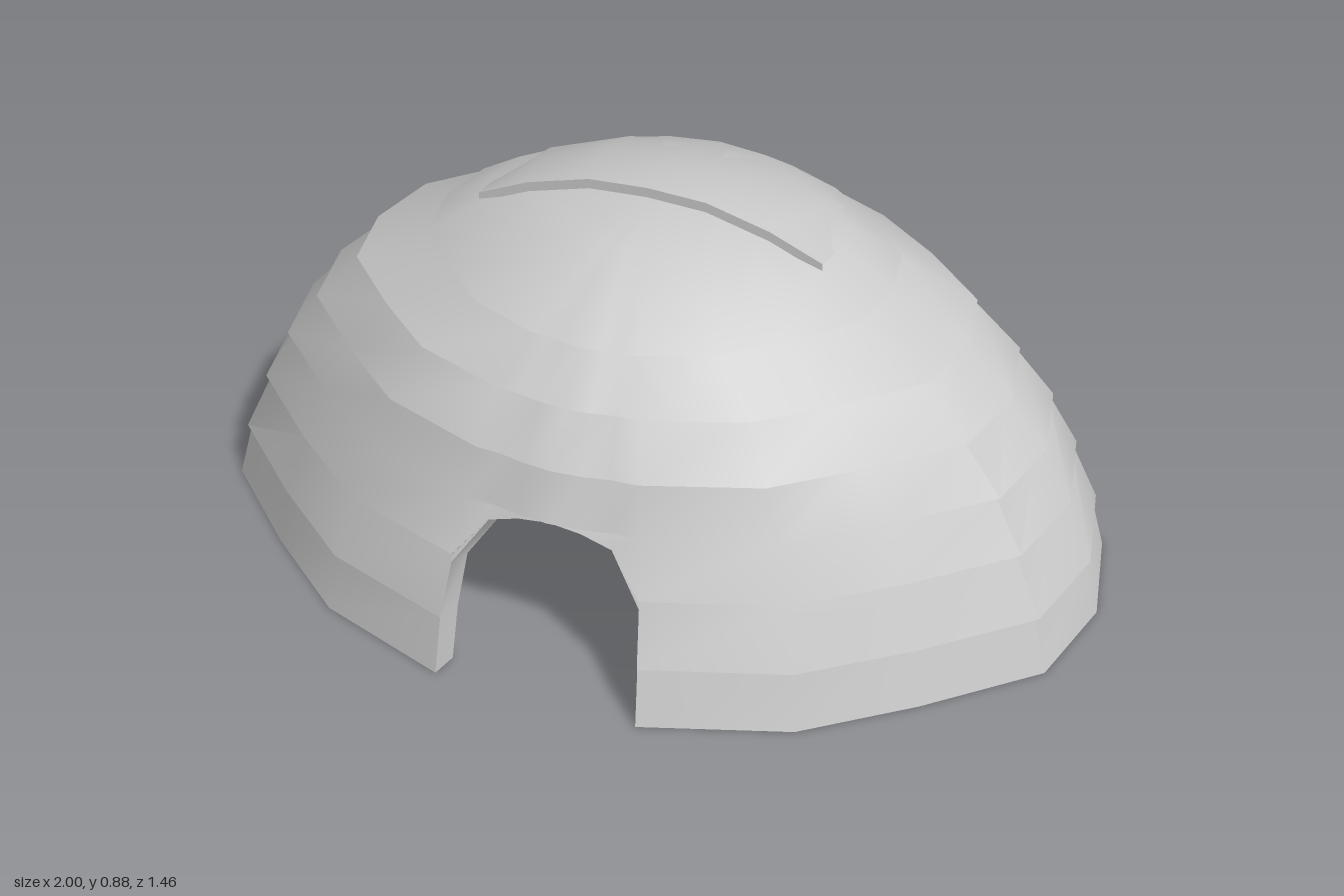
import * as THREE from 'three';
import { toCreasedNormals } from 'three/addons/utils/BufferGeometryUtils.js';

// Plan outline (unit x, unit z) from the front round the left side to the back
const half = [[0, 1], [0.08, 0.99], [0.155, 0.97], [0.225, 0.965], [0.53, 0.82], [0.74, 0.59], [0.95, 0.32],
  [1, 0], [0.95, -0.32], [0.74, -0.59], [0.52, -0.81], [0.28, -0.945], [0, -1]];
const cols = [...half, ...half.slice(1, -1).reverse().map(([x, z]) => [-x, z])];
const N = cols.length;
const doorTop = [0.388, 0.378, 0.355, 0.25]; // arch height by column from the middle
const Z0 = 0.02;
const DROP = 0.955; // inner heights relative to outer ones

// Tiers: height, half width, front depth, back depth, extra side step below the rim
const tiers = [
  [0, 1, 0.735, 0.75, 0], [0.13, 0.975, 0.71, 0.728, 0.015], [0.27, 0.92, 0.667, 0.69, 0.025],
  [0.39, 0.86, 0.62, 0.642, 0.02], [0.5, 0.78, 0.592, 0.582, 0.015], [0.61, 0.68, 0.527, 0.522, 0.025],
  [0.7, 0.51, 0.437, 0.43, 0.01], [0.77, 0.4, 0.335, 0.33, 0], [0.82, 0.24, 0.235, 0.2, 0], [0.835, 0, 0, 0, 0]];

// Outer rows carry a narrow and a wide ring at each step; inner rows are smooth
const RIM = 0.007; // shallow overlap all round
const outer = tiers.flatMap(([y, w, f, b, s]) => s
  ? [[y, w - RIM, f - RIM, b - RIM, s], [y, w, f, b, 0]]
  : [[y, w, f, b, 0]]);
const inner = tiers.map(([y, w, f, b]) =>
  [y * DROP, Math.max(0, w - 0.055), Math.max(0, f - 0.06), Math.max(0, b - 0.06), 0]);

function ringPoint([y, w, f, b, s], c) {
  const [nx, nz] = cols[c];
  const k = Math.pow(Math.abs(nx), 30); // deep steps only at the very sides
  return new THREE.Vector3(nx * (w - s * k), y, Z0 + nz * (nz > 0 ? f : b));
}

function pointAt(rows, c, y) {
  let j = 0;
  while (j < rows.length - 2 && rows[j + 1][0] <= y) j++;
  const t = (y - rows[j][0]) / (rows[j + 1][0] - rows[j][0]);
  return ringPoint(rows[j], c).lerp(ringPoint(rows[j + 1], c), t);
}

// Collects quads, dropping collapsed triangles
function builder() {
  const pos = [];
  const tri = (a, b, c) => {
    const area = b.clone().sub(a).cross(c.clone().sub(a)).length();
    if (area > 1e-7) for (const p of [a, b, c]) pos.push(p.x, p.y, p.z);
  };
  return {
    quad(a, b, c, d) { tri(a, b, c); tri(a, c, d); },
    mesh(name, material) {
      const g = new THREE.BufferGeometry();
      g.setAttribute('position', new THREE.Float32BufferAttribute(pos, 3));
      const m = new THREE.Mesh(toCreasedNormals(g, 0.55), material);
      m.name = name;
      return m;
    },
  };
}

const fromMiddle = c => Math.min(c, N - c);

// One skin of the dome, starting above the arch in the doorway columns
function domeSkin(rows, scaleY, flip, name, material) {
  const b = builder();
  for (let c = 0; c < N; c++) {
    const d = (c + 1) % N;
    const inDoor = fromMiddle(c) <= 3 && fromMiddle(d) <= 3;
    const corner = (col, j) => {
      const low = inDoor ? doorTop[fromMiddle(col)] * scaleY : 0;
      return rows[j][0] >= low ? ringPoint(rows[j], col) : pointAt(rows, col, low);
    };
    for (let j = 0; j < rows.length - 1; j++) {
      const q = [corner(c, j), corner(d, j), corner(d, j + 1), corner(c, j + 1)];
      b.quad(...(flip ? q.reverse() : q));
    }
  }
  return b.mesh(name, material);
}

// Wall thickness along the foot, the jambs and the arch
function rimEdge(material) {
  const path = [];
  for (let c = 0; c < N; c++) {
    const m = fromMiddle(c);
    if (m < 3) path.push([c, doorTop[m]]);
    else if (c === 3) path.push([c, 0.25], [c, 0.13], [c, 0]);
    else if (c === N - 3) path.push([c, 0], [c, 0.13], [c, 0.25]);
    else path.push([c, 0]);
  }
  const b = builder();
  path.forEach(([c, y], i) => {
    const [d, v] = path[(i + 1) % path.length];
    b.quad(pointAt(outer, c, y), pointAt(inner, c, y * DROP), pointAt(inner, d, v * DROP), pointAt(outer, d, v));
  });
  return b.mesh('rimEdge', material);
}

// Raised lip over the crown, blending into the back of the dome
function crownLip(material) {
  const b = builder();
  const edge = [[0, 0.88], [0.13, 0.873], [0.27, 0.835], [0.385, 0.785]];
  const front = [...edge.slice(1).reverse().map(([x, y]) => [-x, y]), ...edge];
  const S = 6;
  const at = (i, t) => {
    const [x, y] = front[i];
    const a = (i / (front.length - 1) - 0.5) * Math.PI;
    const start = new THREE.Vector3(x, y, 0.11);
    const end = new THREE.Vector3(0.39 * Math.sin(a), 0.765, -0.31 * Math.cos(a));
    const p = start.lerp(end, t);
    p.y += 0.1 * t * (1 - t) * Math.cos(a);
    return p;
  };
  const below = (i, dy, dz) => at(i, 0).add(new THREE.Vector3(0, -dy, -dz));
  for (let i = 0; i < front.length - 1; i++) {
    // front band, then the underside running back into the dome
    b.quad(below(i, 0.022, 0), below(i + 1, 0.022, 0), at(i + 1, 0), at(i, 0));
    b.quad(below(i, 0.05, 0.1), below(i + 1, 0.05, 0.1), below(i + 1, 0.022, 0), below(i, 0.022, 0));
    for (let k = 0; k < S; k++)
      b.quad(at(i, k / S), at(i + 1, k / S), at(i + 1, (k + 1) / S), at(i, (k + 1) / S));
  }
  return b.mesh('crownLip', material);
}

export function createModel() {
  const group = new THREE.Group();
  group.name = 'steppedDome';
  const grey = new THREE.MeshStandardMaterial({ color: 0xcccccc });
  const thin = new THREE.MeshStandardMaterial({ color: 0xcccccc, side: THREE.DoubleSide });
  group.add(
    domeSkin(outer, 1, false, 'outerShell', grey),
    domeSkin(inner, DROP, true, 'innerShell', grey),
    rimEdge(grey),
    crownLip(thin));
  return group;
}
